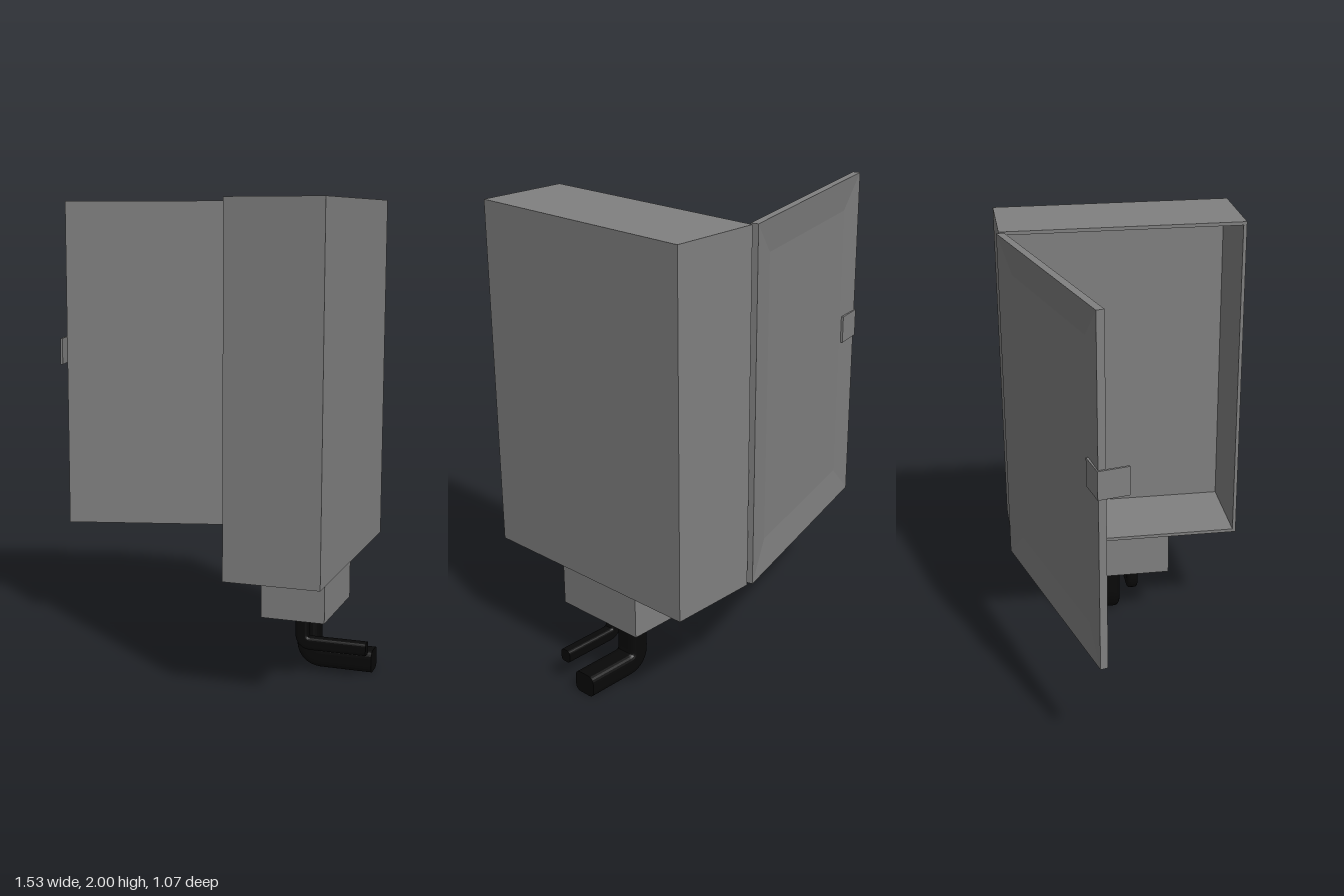
import * as THREE from 'three';

const grey = new THREE.MeshStandardMaterial({ color: 0x808080, flatShading: true });
const black = new THREE.MeshStandardMaterial({ color: 0x080808 });

// Closed solid through rectangular rings [width, height, z], capped at the first and last.
function ringSolid(rings) {
  const pos = [], index = [];
  for (const [w, h, z] of rings) {
    for (const [sx, sy] of [[-1, -1], [1, -1], [1, 1], [-1, 1]]) pos.push(sx * w / 2, sy * h / 2, z);
  }
  const quad = (a, b, c, d) => index.push(a, b, c, a, c, d);
  for (let k = 0; k < rings.length - 1; k++) {
    for (let i = 0; i < 4; i++) {
      const j = (i + 1) % 4, a = k * 4, b = a + 4;
      quad(a + i, a + j, b + j, b + i);
    }
  }
  const e = (rings.length - 1) * 4;
  quad(3, 2, 1, 0);
  quad(e, e + 1, e + 2, e + 3);
  const g = new THREE.BufferGeometry();
  g.setAttribute('position', new THREE.Float32BufferAttribute(pos, 3));
  g.setIndex(index);
  const flat = g.toNonIndexed();
  flat.computeVertexNormals();
  return flat;
}

function add(parent, name, geometry, material, x = 0, y = 0, z = 0) {
  const mesh = new THREE.Mesh(geometry, material);
  mesh.name = name;
  mesh.position.set(x, y, z);
  parent.add(mesh);
  return mesh;
}

// Rounded cross-section with half sizes a and b
function roundedSection(a, b) {
  const r = 0.65 * Math.min(a, b);
  const s = new THREE.Shape();
  s.moveTo(a, -b + r);
  s.lineTo(a, b - r);
  s.quadraticCurveTo(a, b, a - r, b);
  s.lineTo(-a + r, b);
  s.quadraticCurveTo(-a, b, -a, b - r);
  s.lineTo(-a, -b + r);
  s.quadraticCurveTo(-a, -b, -a + r, -b);
  s.lineTo(a - r, -b);
  s.quadraticCurveTo(a, -b, a, -b + r);
  return s;
}

// Pipe that drops from the neck and bends towards +x
function addPipe(parent, name, x, z, halfWidth, halfHeight, yEnd, xEnd, bend) {
  const v = (px, py) => new THREE.Vector3(px, py, z);
  const path = new THREE.CurvePath();
  path.add(new THREE.LineCurve3(v(x, 0.29), v(x, yEnd + bend)));
  path.add(new THREE.QuadraticBezierCurve3(v(x, yEnd + bend), v(x, yEnd), v(x + bend, yEnd)));
  path.add(new THREE.LineCurve3(v(x + bend, yEnd), v(xEnd, yEnd)));
  const section = roundedSection(halfWidth, halfHeight);
  add(parent, name, new THREE.ExtrudeGeometry(section, { extrudePath: path, steps: 40, curveSegments: 5 }), black);
}

export function createModel() {
  const model = new THREE.Group();
  model.name = 'openCabinet';

  // Hollow case, open towards -x
  const depth = 0.4, width = 1.058, height = 1.502, wall = 0.015;
  const inner = [width - 2 * wall, height - 2 * wall];
  add(model, 'case', ringSolid([
    [width, height, -depth / 2], [width, height, depth / 2],
    [...inner, depth / 2], [...inner, -depth / 2 + 0.005],
  ]), grey, 0.481, 1.249, 0.008).rotation.y = -Math.PI / 2;

  // Swung-open door with a shallow dished outer face
  const doorWidth = 1.055, margin = 0.14;
  const door = new THREE.Group();
  door.name = 'door';
  door.position.set(-0.249, 1.249, -0.389);
  door.rotation.y = Math.PI + 0.273;
  add(door, 'doorPanel', ringSolid([
    [doorWidth, height, -0.033], [doorWidth, height, 0],
    [doorWidth - 2 * margin, height - 2 * margin, -0.014],
  ]), grey);

  // Bent latch on the free edge
  const latch = new THREE.Group();
  latch.name = 'latch';
  latch.position.set(doorWidth / 2, 0.07, 0);
  latch.rotation.y = -0.06;
  add(latch, 'latchPlate', new THREE.BoxGeometry(0.13, 0.12, 0.01), grey, -0.058, 0, 0);
  add(latch, 'latchArm', new THREE.BoxGeometry(0.01, 0.12, 0.13), grey, 0.003, 0, -0.06);
  door.add(latch);
  model.add(door);

  // Neck block and pipes below the case
  add(model, 'neck', new THREE.BoxGeometry(0.273, 0.23, 0.435), grey, 0.481, 0.385, 0.009);
  addPipe(model, 'largePipe', 0.482, -0.049, 0.054, 0.048, 0.048, 0.767, 0.065);
  addPipe(model, 'smallPipe', 0.482, 0.07, 0.026, 0.028, 0.132, 0.762, 0.04);
  return model;
}
